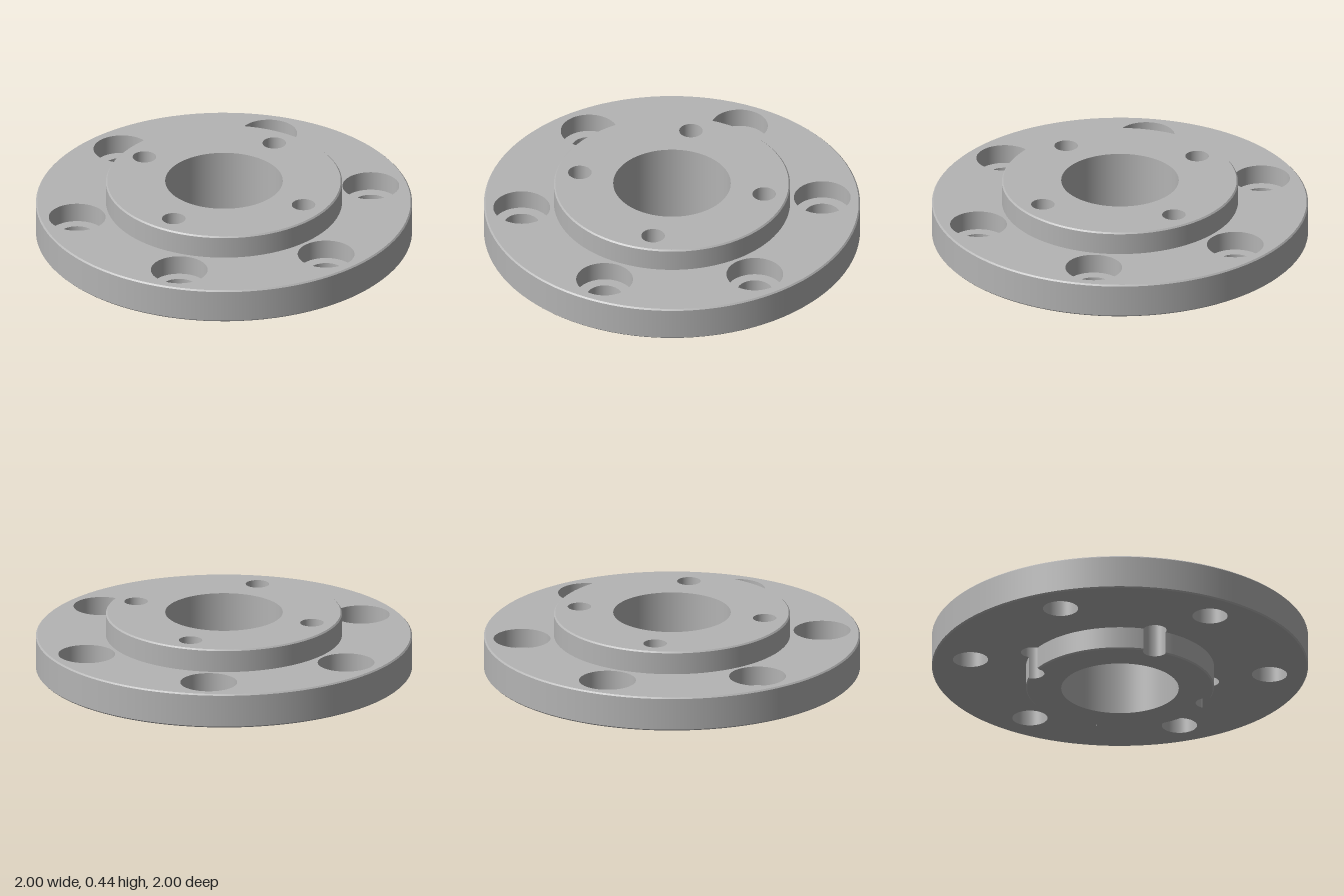
import * as THREE from 'three';
import { mergeGeometries } from 'three/addons/utils/BufferGeometryUtils.js';

const SEG = 96;
const Y = { boss: 0, plate: 0.125, plateTop: 0.3125, hub: 0.4375 };
const R = { plate: 1, hub: 0.628, boss: 0.5, bore: 0.3125 };
const BOLT = { pitch: 0.8, r: 0.0935, bore: 0.151, floor: 0.2075 };
const PIN = { pitch: 0.5, r: 0.0625 };
const C = 0.0075; // edge chamfer

// Surface of revolution with sharp profile corners; rising profiles face outward, falling ones inward
function turned(profile, start = 0, length = Math.PI * 2) {
  const parts = [];
  for (let i = 0; i + 1 < profile.length; i++) {
    const pts = [profile[i], profile[i + 1]].map(([r, y]) => new THREE.Vector2(r, y));
    parts.push(new THREE.LatheGeometry(pts, SEG, start, length));
  }
  return mergeGeometries(parts);
}

function circle(r, x = 0, y = 0, Type = THREE.Path) {
  const path = new Type();
  path.absarc(x, y, r, 0, Math.PI * 2, false);
  return path;
}

// Flat horizontal face with cut-outs
function flatFace(outline, holes, y, up) {
  outline.holes.push(...holes);
  return new THREE.ShapeGeometry(outline, SEG / 2).rotateX(up ? -Math.PI / 2 : Math.PI / 2).translate(0, y, 0);
}

const ringOf = (count, pitch, offset) => Array.from({ length: count }, (_, i) => {
  const angle = offset + i * Math.PI * 2 / count;
  return { angle, x: pitch * Math.sin(angle), z: pitch * Math.cos(angle) };
});

// Where a circle of radius r about the axis meets a pin hole: angle about the axis and about the hole
function crossing(r) {
  const a = Math.acos((r * r + PIN.pitch ** 2 - PIN.r ** 2) / (2 * r * PIN.pitch));
  return { a, b: Math.atan2(r * Math.sin(a), r * Math.cos(a) - PIN.pitch) };
}

// Circle broken by the four pin holes, which cut inward or bulge outward
function scalloped(r, inward, Type) {
  const path = new Type();
  const { a, b } = crossing(r);
  for (let i = 0; i < 4; i++) {
    const t = Math.PI / 4 + i * Math.PI / 2, next = t + Math.PI / 2;
    path.absarc(0, 0, r, t + a, next - a, false);
    path.absarc(PIN.pitch * Math.cos(next), PIN.pitch * Math.sin(next), PIN.r, next - b, next + b, inward);
  }
  path.closePath();
  return path;
}

export function createModel() {
  const group = new THREE.Group();
  const metal = new THREE.MeshStandardMaterial({ color: 0xb4b4b4 });
  metal.name = 'plain grey metal';
  const add = (name, geometry, x = 0, z = 0) => {
    const mesh = new THREE.Mesh(geometry, metal);
    mesh.name = name;
    mesh.position.set(x, 0, z);
    group.add(mesh);
  };
  const bolts = ringOf(6, BOLT.pitch, Math.PI / 2);
  const pins = ringOf(4, PIN.pitch, Math.PI / 4);
  const cuts = (list, r) => list.map(p => circle(r, p.x, p.z));

  // Main plate
  add('plateRim', turned([[R.plate - C, Y.plate], [R.plate, Y.plate + C], [R.plate, Y.plateTop - C], [R.plate - C, Y.plateTop]]));
  add('plateTop', flatFace(circle(R.plate - C, 0, 0, THREE.Shape),
    [circle(R.hub), ...cuts(bolts, BOLT.bore)], Y.plateTop, true));
  add('plateUnderside', flatFace(circle(R.plate - C, 0, 0, THREE.Shape),
    [scalloped(R.boss, false, THREE.Path), ...cuts(bolts, BOLT.r)], Y.plate, false));

  // Raised upper hub
  add('hubRim', turned([[R.hub, Y.plateTop], [R.hub, Y.hub - C], [R.hub - C, Y.hub]]));
  add('hubTop', flatFace(circle(R.hub - C, 0, 0, THREE.Shape),
    [circle(R.bore), ...cuts(pins, PIN.r)], Y.hub, true));

  // Central bore
  add('centralBore', turned([[R.bore, Y.hub], [R.bore, Y.boss]]));

  // Lower locating boss, with its rim cut by the pin holes
  const { a, b } = crossing(R.boss);
  add('bossUnderside', flatFace(scalloped(R.boss - C, true, THREE.Shape), [circle(R.bore)], Y.boss, false));
  for (const p of pins) {
    add('bossRim', turned([[R.boss - C, Y.boss], [R.boss, Y.boss + C], [R.boss, Y.plate]],
      p.angle + a, Math.PI / 2 - 2 * a));
    add('pinHole', turned([[PIN.r, Y.hub], [PIN.r, Y.plate]]), p.x, p.z);
    add('bossNotch', turned([[PIN.r, Y.plate], [PIN.r, Y.boss]], p.angle + b, 2 * (Math.PI - b)), p.x, p.z);
  }

  // Counterbored bolt holes
  const boltHole = turned([[BOLT.bore, Y.plateTop], [BOLT.bore, BOLT.floor], [BOLT.r, BOLT.floor], [BOLT.r, Y.plate]]);
  for (const p of bolts) add('boltHole', boltHole, p.x, p.z);

  return group;
}
